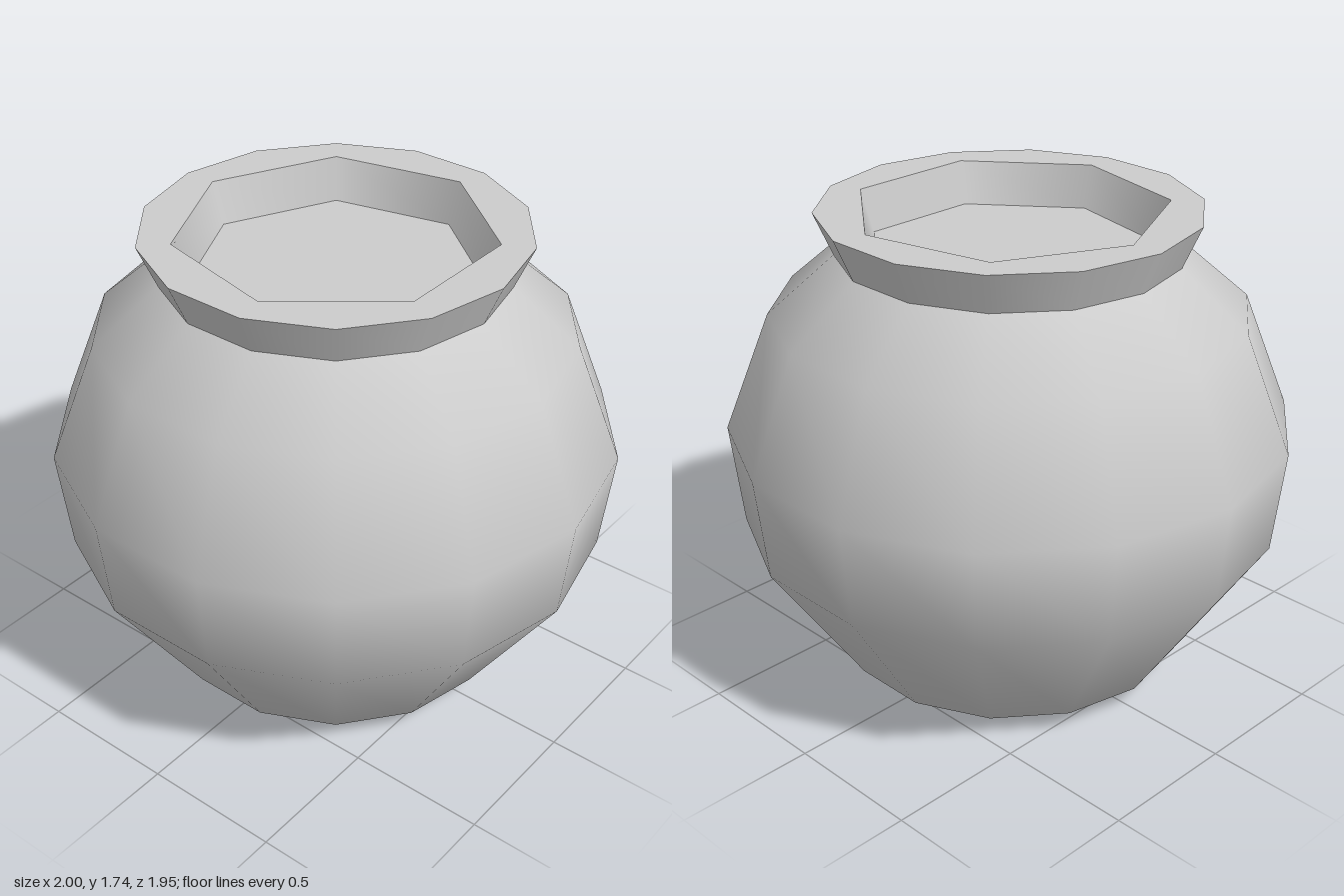
import * as THREE from 'three';

const SIDES = 14;
const HOLE_SIDES = 7;
const NECK_Y = 1.585;
const RIM_Y = 1.735;

// Points of a regular polygon in the plane
function polygon(radius, sides, start) {
  return Array.from({ length: sides }, (_, i) => {
    const a = start + (i / sides) * Math.PI * 2;
    return new THREE.Vector2(radius * Math.cos(a), radius * Math.sin(a));
  });
}

export function createModel() {
  const pot = new THREE.Group();
  pot.name = 'pot';
  const clay = new THREE.MeshStandardMaterial({ color: 0xcccccc });
  clay.name = 'lightGrey';

  function add(name, geometry, y = 0) {
    const mesh = new THREE.Mesh(geometry, clay);
    mesh.name = name;
    mesh.position.y = y;
    pot.add(mesh);
  }
  const lathe = (profile, sides, start) =>
    new THREE.LatheGeometry(profile.map(([r, y]) => new THREE.Vector2(r, y)), sides, start);

  // Rounded belly, from foot to neck
  add('body', lathe([
    [0.415, 0], [0.625, 0.085], [0.96, 0.59], [1, 0.96], [0.835, 1.38], [0.6, NECK_Y],
  ], SIDES, Math.PI / 2));
  add('base', new THREE.CircleGeometry(0.415, SIDES).rotateX(Math.PI / 2));

  // Flared collar
  add('collar', lathe([[0.6, NECK_Y], [0.665, RIM_Y]], SIDES, Math.PI / 2));

  // Flat rim with a seven-sided opening
  const rim = new THREE.Shape(polygon(0.665, SIDES, 0));
  rim.holes.push(new THREE.Path(polygon(0.55, HOLE_SIDES, Math.PI)));
  add('rim', new THREE.ShapeGeometry(rim).rotateX(-Math.PI / 2), RIM_Y);

  // Shallow recess; profile runs downward so its wall faces inward
  add('recessWall', lathe([[0.55, RIM_Y], [0.505, NECK_Y]], HOLE_SIDES, -Math.PI / 2));
  add('recessFloor', new THREE.CircleGeometry(0.505, HOLE_SIDES, Math.PI).rotateX(-Math.PI / 2), NECK_Y);

  return pot;
}
